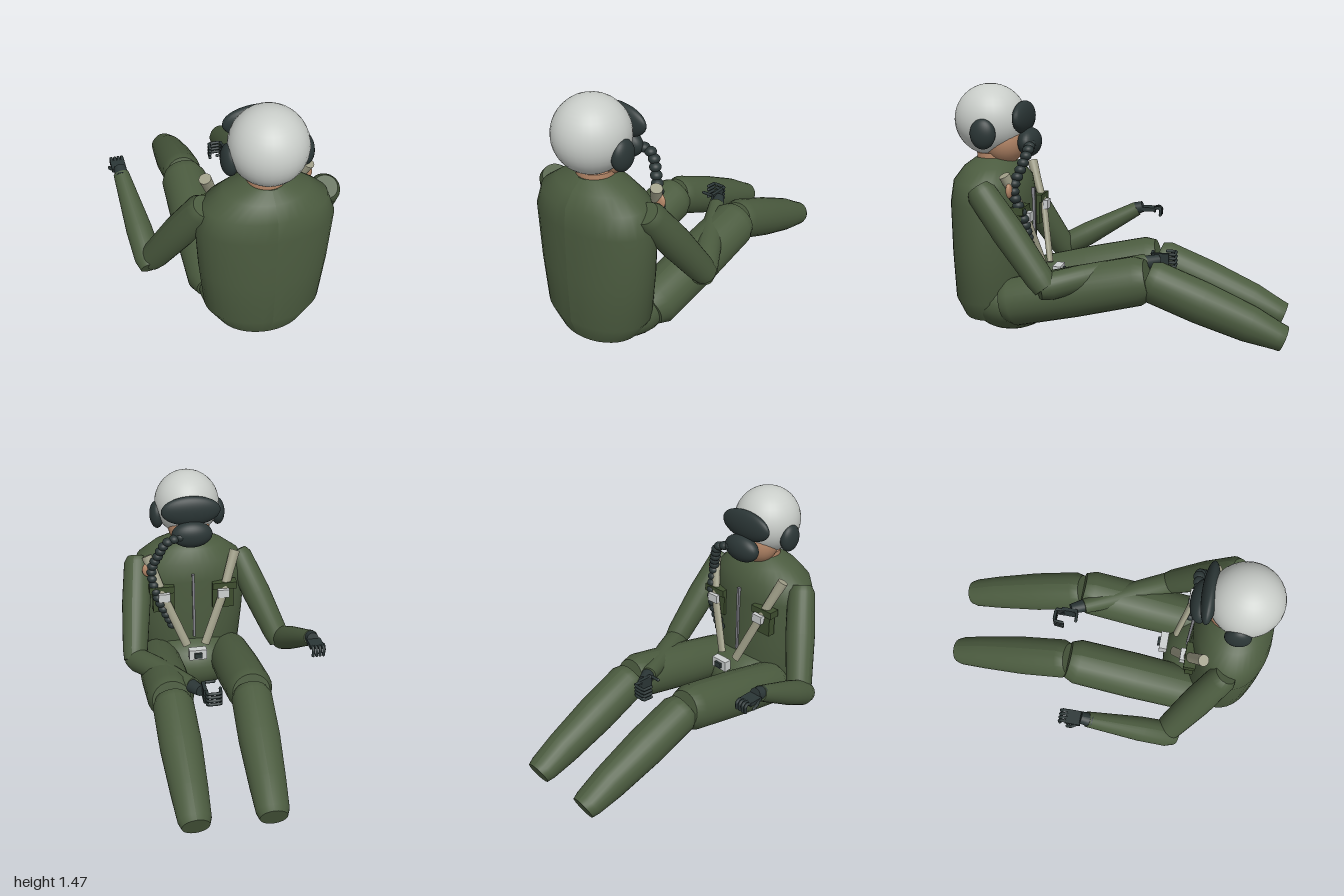
import * as THREE from 'three';

const CX = 0.123; // body midline
const V = (p) => new THREE.Vector3(...p);

export function createModel() {
  const root = new THREE.Group();
  root.name = 'seatedAviator';
  const material = (name, color) => {
    const m = new THREE.MeshStandardMaterial({ color });
    m.name = name;
    return m;
  };
  const suit = material('suitGreen', 0x4b5b3f);
  const pocketMat = material('pocketGreen', 0x3e4e2f);
  const white = material('helmetWhite', 0xc9cdc9);
  const dark = material('rubberDark', 0x2b3636);
  const skin = material('skin', 0xb58768);
  const webbing = material('webbingTan', 0x9f9e88);
  const metal = material('buckleMetal', 0xcdd0d0);
  const zipMat = material('zipGrey', 0x85858c);

  const add = (name, geo, mat, pos = [0, 0, 0], parent = root) => {
    const mesh = new THREE.Mesh(geo, mat);
    mesh.name = name;
    mesh.position.set(...pos);
    parent.add(mesh);
    return mesh;
  };
  // Closed loft along y from rows of [y, radiusX, radiusZ, offsetZ]
  const loft = (rows, sides = 28) => {
    const n = rows.length - 1;
    const g = new THREE.CylinderGeometry(1, 1, 1, sides, n);
    const p = g.attributes.position;
    for (let i = 0; i < p.count; i++) {
      const [y, rx, rz = rx, dz = 0] = rows[Math.round((p.getY(i) + 0.5) * n)];
      p.setXYZ(i, p.getX(i) * rx, y, p.getZ(i) * rz + dz);
    }
    g.computeVertexNormals();
    return g;
  };
  // Loft whose rows run from point a (0) to point b (1)
  const limb = (name, a, b, rows, mat, parent = root) => {
    const d = V(b).sub(V(a));
    const len = d.length();
    const mesh = add(name, loft(rows.map(([t, ...r]) => [t * len, ...r]), 24), mat, a, parent);
    mesh.quaternion.setFromUnitVectors(new THREE.Vector3(0, 1, 0), d.normalize());
    return mesh;
  };
  const ball = (name, c, r, mat) => {
    const g = new THREE.SphereGeometry(1, 32, 20).scale(...r);
    return add(name, g, mat, c);
  };
  const box = (name, size, c, mat, parent = root) => add(name, new THREE.BoxGeometry(...size), mat, c, parent);

  // Torso and pelvis
  add('torso', loft([
    [0.1, 0.25, 0.185], [0.22, 0.33, 0.23], [0.5, 0.36, 0.237], [0.8, 0.38, 0.235],
    [0.92, 0.335, 0.22], [0.995, 0.23, 0.165], [1.042, 0.11, 0.1],
  ], 36), suit, [CX, 0, 0.76]);
  ball('pelvis', [CX, 0.205, 0.645], [0.33, 0.203, 0.265], suit);

  // Head
  add('neck', new THREE.CylinderGeometry(0.105, 0.105, 0.14, 24), skin, [CX, 1.0, 0.75]);
  ball('face', [CX, 1.14, 0.69], [0.135, 0.145, 0.125], skin);
  ball('helmet', [CX, 1.262, 0.768], [0.208, 0.21, 0.212], white);
  ball('visor', [CX, 1.277, 0.567], [0.188, 0.095, 0.047], dark);
  ball('mask', [CX, 1.132, 0.535], [0.13, 0.085, 0.065], dark);
  for (const s of [-1, 1]) ball('earCup', [CX + s * 0.198, 1.195, 0.755], [0.046, 0.088, 0.075], dark);

  // Breathing hose made of beads
  const hose = new THREE.CatmullRomCurve3([
    [0.2, 1.13, 0.51], [0.29, 1.1, 0.5], [0.345, 1.0, 0.53], [0.385, 0.89, 0.56],
    [0.355, 0.72, 0.515], [0.27, 0.52, 0.505],
  ].map(V));
  const beads = 17;
  for (let i = 0; i <= beads; i++) {
    ball('hoseBead', hose.getPointAt(i / beads).toArray(), [0.033, 0.027, 0.033], dark);
  }

  for (const s of [-1, 1]) {
    const x = (d) => CX + s * d;
    // Legs
    limb('thigh', [x(0.24), 0.212, 0.64], [x(0.24), 0.4, -0.205],
      [[0, 0.105], [0.07, 0.14], [0.5, 0.146], [0.93, 0.141], [1, 0.115]], suit);
    limb('shin', [x(0.237), 0.402, -0.195], [x(0.213), 0.086, -0.968],
      [[0, 0.1], [0.06, 0.122], [0.4, 0.122], [0.75, 0.106], [0.95, 0.094, 0.078], [1, 0.078, 0.074]], suit);

    // Harness straps, lower and upper run
    const mid = [x(0.195), 0.72, 0.51];
    limb('lowerStrap', [x(0.06), 0.39, 0.44], mid, [[0, 0.028, 0.018], [1, 0.028, 0.02]], webbing);
    limb('upperStrap', mid, [x(0.287), 0.975, 0.605], [[0, 0.028, 0.02], [0.6, 0.031, 0.025], [1, 0.034, 0.032]], webbing);
    box('strapBuckle', [0.075, 0.055, 0.03], [x(0.193), 0.725, 0.492], metal);

    // Chest pockets
    box('chestPocket', [0.14, 0.16, 0.05], [x(0.195), 0.69, 0.545], pocketMat);
    box('pocketFlap', [0.16, 0.045, 0.07], [x(0.205), 0.768, 0.54], pocketMat);
  }
  ball('strapPad', [0.412, 0.89, 0.578], [0.032, 0.045, 0.018], skin);

  // Zip and lap buckle
  box('zip', [0.016, 0.45, 0.02], [CX, 0.635, 0.52], zipMat);
  box('lapBuckle', [0.115, 0.07, 0.05], [CX, 0.36, 0.372], metal);
  box('buckleRelease', [0.05, 0.035, 0.02], [CX, 0.36, 0.342], dark);

  // Arms
  const upperArm = [[0, 0.065], [0.06, 0.085], [0.45, 0.092], [0.9, 0.08], [1, 0.07]];
  const forearm = [[0, 0.062], [0.1, 0.078], [0.4, 0.075], [1, 0.046]];
  limb('rightUpperArm', [-0.2, 0.91, 0.745], [-0.45, 0.345, 0.47], upperArm, suit);
  limb('rightForearm', [-0.46, 0.335, 0.53], [-0.53, 0.62, 0.0], forearm, suit);
  limb('leftUpperArm', [0.46, 0.91, 0.745], [0.535, 0.37, 0.34], upperArm, suit);
  limb('leftForearm', [0.545, 0.365, 0.38], [0.23, 0.465, -0.17], forearm, suit);

  // Gloves: a cuff, a flat palm, and fingers bent along short paths
  const finger = (name, points) => {
    const path = new THREE.CurvePath();
    for (let i = 1; i < points.length; i++) path.add(new THREE.LineCurve3(V(points[i - 1]), V(points[i])));
    add(name, new THREE.TubeGeometry(path, 14, 0.0095, 8), dark);
    ball('fingertip', points[points.length - 1], [0.0095, 0.0095, 0.0095], dark);
  };
  limb('rightCuff', [-0.53, 0.615, 0.025], [-0.53, 0.635, -0.04], [[0, 0.042], [1, 0.036]], dark);
  box('rightPalm', [0.085, 0.025, 0.09], [-0.535, 0.622, -0.08], dark);
  for (let i = 0; i < 4; i++) {
    const fx = -0.567 + i * 0.0215;
    finger('rightFinger', [[fx, 0.625, -0.11], [fx, 0.635, -0.145], [fx, 0.62, -0.16], [fx, 0.585, -0.157]]);
  }
  finger('rightThumb', [[-0.57, 0.62, -0.05], [-0.588, 0.61, -0.085], [-0.585, 0.595, -0.11]]);

  limb('leftCuff', [0.24, 0.46, -0.165], [0.195, 0.47, -0.245], [[0, 0.042], [1, 0.032]], dark);
  box('leftPalm', [0.022, 0.09, 0.1], [0.175, 0.46, -0.25], dark);
  for (let i = 0; i < 4; i++) {
    const fy = 0.425 + i * 0.024;
    finger('leftFinger', [[0.17, fy, -0.28], [0.168, fy, -0.335], [0.09, fy, -0.335], [0.085, fy, -0.28]]);
  }
  finger('leftThumb', [[0.175, 0.497, -0.23], [0.165, 0.497, -0.2], [0.11, 0.497, -0.198]]);

  return root;
}
